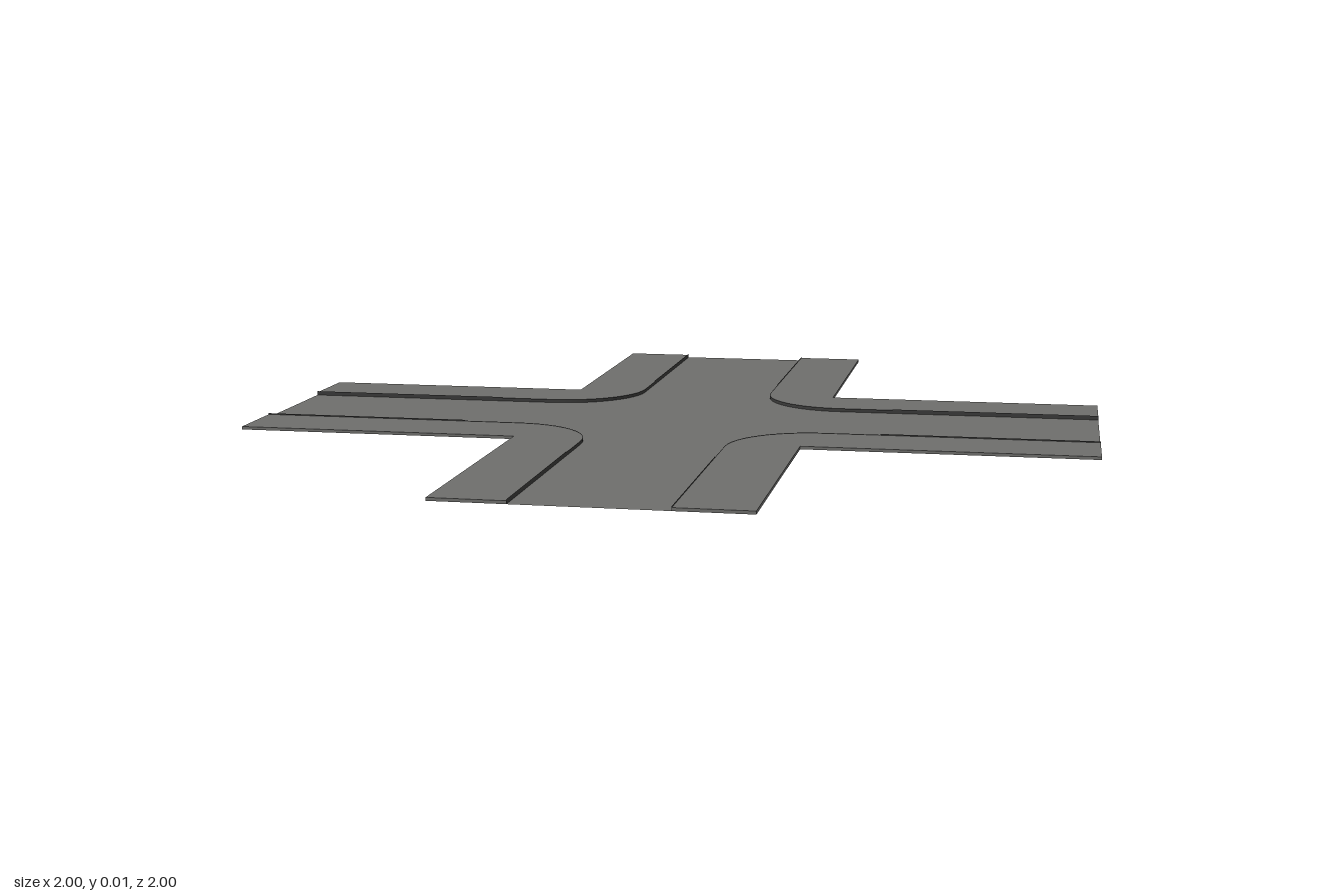
import * as THREE from 'three';

const INNER = 1 / 6, OUTER = 1 / 3, RADIUS = 0.2, WALK_Y = 0.007;

// Curb line of one corner, from the z arm round to the x arm, as [x, z]
function curbLine() {
  const c = INNER + RADIUS, pts = [[INNER, 1], [INNER, 0.5]];
  for (let i = 0; i <= 12; i++) {
    const a = Math.PI + (i / 12) * Math.PI / 2;
    pts.push([c + RADIUS * Math.cos(a), c + RADIUS * Math.sin(a)]);
  }
  return [...pts, [0.5, INNER], [1, INNER]];
}

// Horizontal sheet from [x, z] points
function sheet(points, y) {
  const shape = new THREE.Shape(points.map(([x, z]) => new THREE.Vector2(x, -z)));
  return new THREE.ShapeGeometry(shape).rotateX(-Math.PI / 2).translate(0, y, 0);
}

// Upright ribbon following [x, z] points
function wall(points, height) {
  const pos = [], index = [];
  points.forEach(([x, z], i) => {
    pos.push(x, 0, z, x, height, z);
    const a = i * 2;
    if (i) index.push(a - 2, a, a - 1, a - 1, a, a + 1);
  });
  const geo = new THREE.BufferGeometry();
  geo.setAttribute('position', new THREE.Float32BufferAttribute(pos, 3));
  geo.setIndex(index);
  geo.computeVertexNormals();
  return geo;
}

export function createModel() {
  const asphalt = new THREE.MeshStandardMaterial({ color: 0x6e6e6c, side: THREE.DoubleSide });
  asphalt.name = 'asphalt grey';
  const dark = new THREE.MeshStandardMaterial({ color: 0x3a3a39, side: THREE.DoubleSide });
  dark.name = 'curb grey';

  const model = new THREE.Group();
  model.name = 'crossroads';
  const add = (parent, name, geo, mat) => {
    const mesh = new THREE.Mesh(geo, mat);
    mesh.name = name;
    parent.add(mesh);
  };

  const curb = curbLine();
  const edge = [[1, INNER], [1, OUTER], [OUTER, OUTER], [OUTER, 1], [INNER, 1]];
  const roadOutline = [];

  // Four matching corners: raised sidewalk, outer skirt and curb
  for (let k = 0; k < 4; k++) {
    const corner = new THREE.Group();
    corner.name = 'corner' + (k + 1);
    corner.rotation.y = k * Math.PI / 2;
    add(corner, 'sidewalk', sheet([...curb, ...edge.slice(1, -1)], WALK_Y), asphalt);
    add(corner, 'sidewalkEdge', wall(edge, WALK_Y).toNonIndexed(), asphalt);
    corner.children[1].geometry.computeVertexNormals();
    add(corner, 'curbBend', wall(curb.slice(1, -1), WALK_Y + 0.001), dark);
    add(corner, 'curbStraightZ', wall(curb.slice(0, 2), 0.01), dark);
    add(corner, 'curbStraightX', wall(curb.slice(-2), 0.01), dark);
    model.add(corner);

    // The road outline follows the same curb, turned by the same angle
    const c = Math.round(Math.cos(k * Math.PI / 2)), s = Math.round(Math.sin(k * Math.PI / 2));
    roadOutline.push(...curb.map(([x, z]) => [x * c + z * s, -x * s + z * c]));
  }

  // Road surface between the curbs
  add(model, 'road', sheet(roadOutline, 0), asphalt);
  return model;
}
